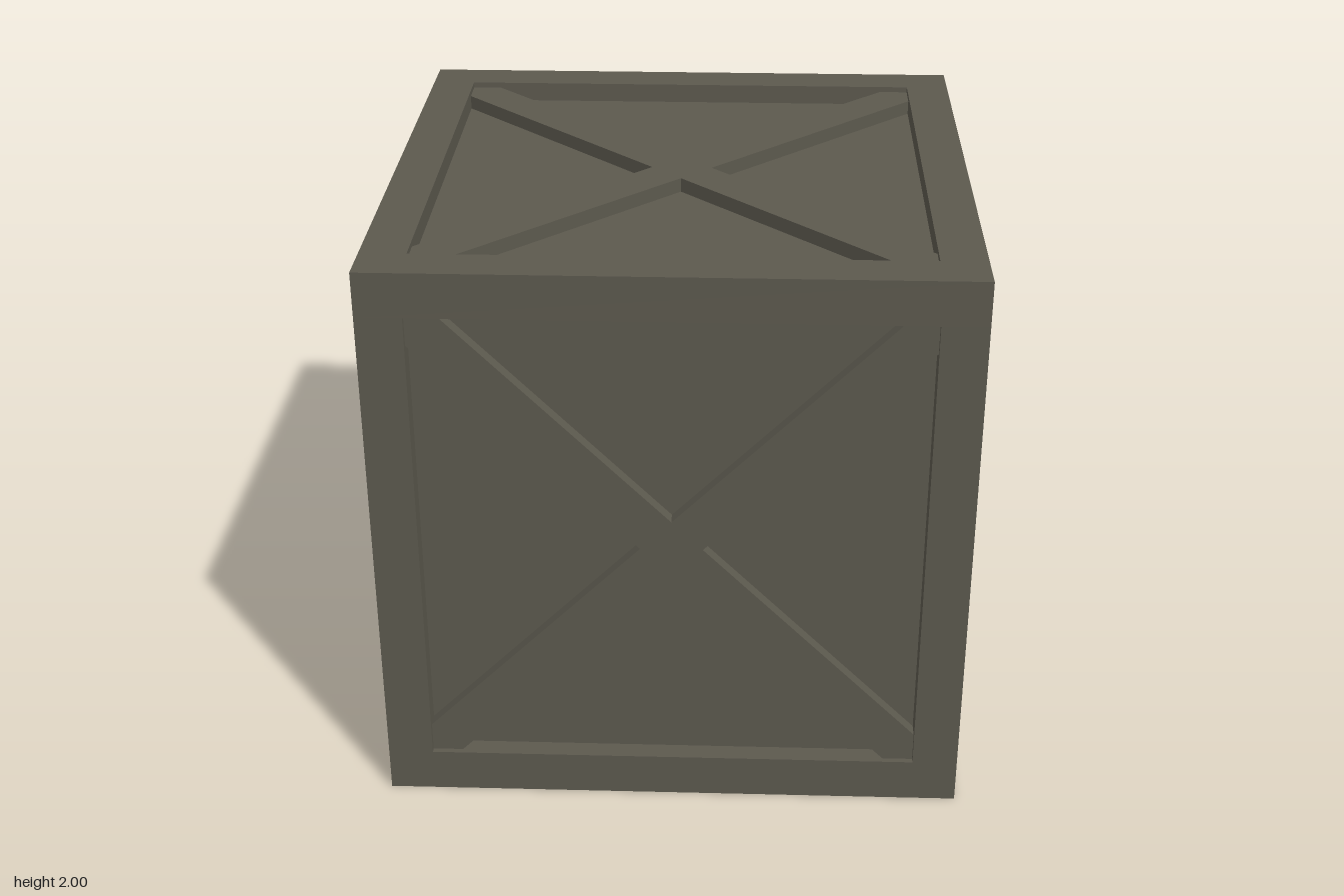
import * as THREE from 'three';

const OPEN = 0.845;        // half width of each face opening
const BEAM = 1 - OPEN;     // frame thickness
const PANEL = 0.93;        // distance of panel surface from the centre
const BRACE = 0.98;        // distance of brace surface from the centre
const NOTCH = 0.105;       // distance from the centre to the inner corners of the X

// X-shaped brace outline, one arm per quarter turn, clipped to the opening
function braceGeometry() {
  const arm = [[NOTCH, 0], [OPEN, OPEN - NOTCH], [OPEN, OPEN], [OPEN - NOTCH, OPEN]];
  const points = [];
  const centre = new THREE.Vector2();
  for (let i = 0; i < 4; i++) {
    for (const [x, y] of arm) {
      points.push(new THREE.Vector2(x, y).rotateAround(centre, i * Math.PI / 2));
    }
  }
  const geometry = new THREE.ExtrudeGeometry(new THREE.Shape(points), {
    depth: BRACE - PANEL, bevelEnabled: false,
  });
  return geometry.translate(0, 0, PANEL);
}

export function createModel() {
  const crate = new THREE.Group();
  crate.name = 'crate';
  const paint = new THREE.MeshStandardMaterial({ color: 0x5c594e });
  paint.name = 'olive grey';

  const body = new THREE.Group();
  body.position.y = 1;
  crate.add(body);

  const add = (name, geometry) => {
    const mesh = new THREE.Mesh(geometry, paint);
    mesh.name = name;
    body.add(mesh);
    return mesh;
  };

  // Recessed panels on all six sides
  add('panels', new THREE.BoxGeometry(2 * PANEL, 2 * PANEL, 2 * PANEL));

  // Twelve edge beams; those along x run through the corners
  const mid = 1 - BEAM / 2;
  for (const a of [-mid, mid]) {
    for (const b of [-mid, mid]) {
      add('frameBeamAcross', new THREE.BoxGeometry(2, BEAM, BEAM)).position.set(0, a, b);
      add('frameBeamUpright', new THREE.BoxGeometry(BEAM, 2 * OPEN, BEAM)).position.set(a, 0, b);
      add('frameBeamDeep', new THREE.BoxGeometry(BEAM, BEAM, 2 * OPEN)).position.set(a, b, 0);
    }
  }

  // Crossed braces, one per face
  const cross = braceGeometry();
  for (let i = 0; i < 4; i++) add('sideBrace', cross).rotation.y = i * Math.PI / 2;
  add('topBrace', cross).rotation.x = -Math.PI / 2;
  add('bottomBrace', cross).rotation.x = Math.PI / 2;

  return crate;
}
